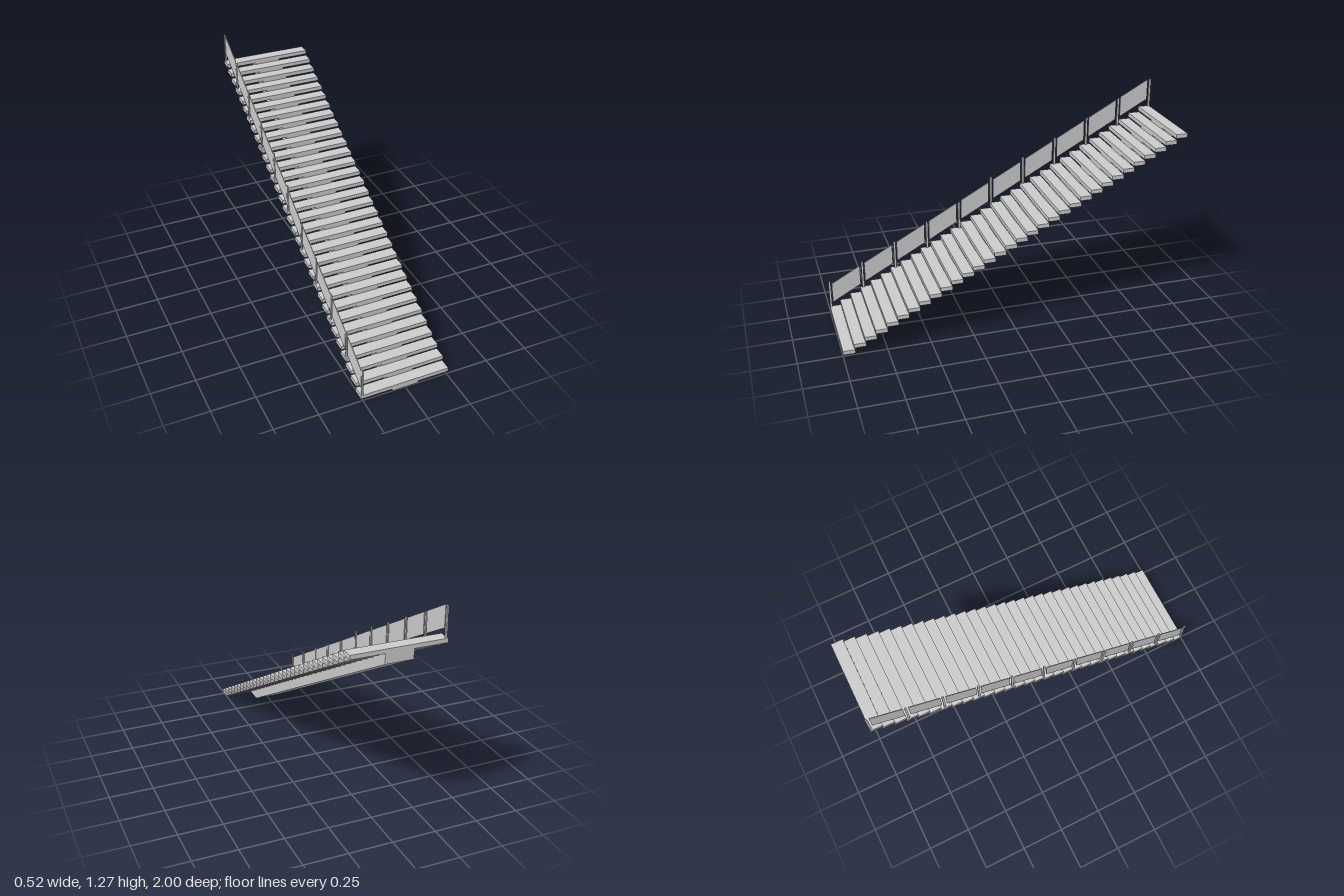
import * as THREE from 'three';

const STEPS = 32, POSTS = 11;
const RISE = 0.0342, DEPTH = 0.0685, GOING = (2 - DEPTH) / (STEPS - 1);
const THICK = 0.0235, FIRST = 0.013; // tread thickness, underside of the first tread
const RAIL_X = -0.25, SLOPE = RISE / GOING;

const material = new THREE.MeshStandardMaterial({ color: 0xcccccc });

// Side profile drawn in (-z, y), extruded across x and centred on the given x
function sideExtrude(name, shape, width, x) {
  const geometry = new THREE.ExtrudeGeometry(shape, { depth: width, bevelEnabled: false, curveSegments: 8 });
  geometry.translate(0, 0, -width / 2);
  geometry.rotateY(Math.PI / 2);
  const mesh = new THREE.Mesh(geometry, material);
  mesh.name = name;
  mesh.position.x = x;
  return mesh;
}

function box(name, w, h, d, x, y, z) {
  const mesh = new THREE.Mesh(new THREE.BoxGeometry(w, h, d), material);
  mesh.name = name;
  mesh.position.set(x, y, z);
  return mesh;
}

// Central beam: sawtooth top, sloping soffit that curves into a flat foot
function createStringer() {
  const shape = new THREE.Shape();
  shape.moveTo(-1, 0);
  shape.lineTo(-0.88, 0);
  shape.quadraticCurveTo(-0.83, 0, -0.785, 0.032);
  shape.lineTo(1, 1.018);
  for (let i = STEPS - 1; i >= 0; i--) {
    const y = FIRST + i * RISE;
    const back = i === STEPS - 1 ? 1 : -1 + (i + 1) * GOING + 0.003;
    const front = i === 0 ? -1 : -1 + i * GOING + 0.003;
    shape.lineTo(back, y);
    shape.lineTo(front, y);
  }
  shape.closePath();
  return sideExtrude('stringer', shape, 0.154, 0);
}

function createTreads() {
  const group = new THREE.Group();
  group.name = 'treads';
  for (let i = 0; i < STEPS; i++) {
    group.add(box('tread', 0.52, THICK, DEPTH, 0, FIRST + THICK / 2 + i * RISE, 1 - DEPTH / 2 - i * GOING));
  }
  return group;
}

// Railing on one side: posts standing on treads with sloping panels between
function createRailing() {
  const group = new THREE.Group();
  group.name = 'railing';
  const postZ = (i) => 0.993 - i * 0.1986;
  const panelTop = (z) => 0.19 + SLOPE * (0.98 - z);
  const height = 0.1685, panelHeight = 0.122;
  for (let i = 0; i < POSTS; i++) {
    const z = postZ(i);
    const step = Math.min(STEPS - 1, Math.floor((1.003 - z) / GOING));
    const base = FIRST + THICK + step * RISE;
    group.add(box('post', 0.008, height, 0.012, RAIL_X, base + height / 2, z));
    if (i === POSTS - 1) continue;
    const front = z - 0.013, back = postZ(i + 1) + 0.015;
    const shape = new THREE.Shape([
      new THREE.Vector2(-front, panelTop(front) - panelHeight),
      new THREE.Vector2(-back, panelTop(back) - panelHeight),
      new THREE.Vector2(-back, panelTop(back)),
      new THREE.Vector2(-front, panelTop(front)),
    ]);
    group.add(sideExtrude('railingPanel', shape, 0.004, RAIL_X));
  }
  return group;
}

export function createModel() {
  const model = new THREE.Group();
  model.name = 'staircase';
  model.add(createStringer(), createTreads(), createRailing());
  return model;
}
